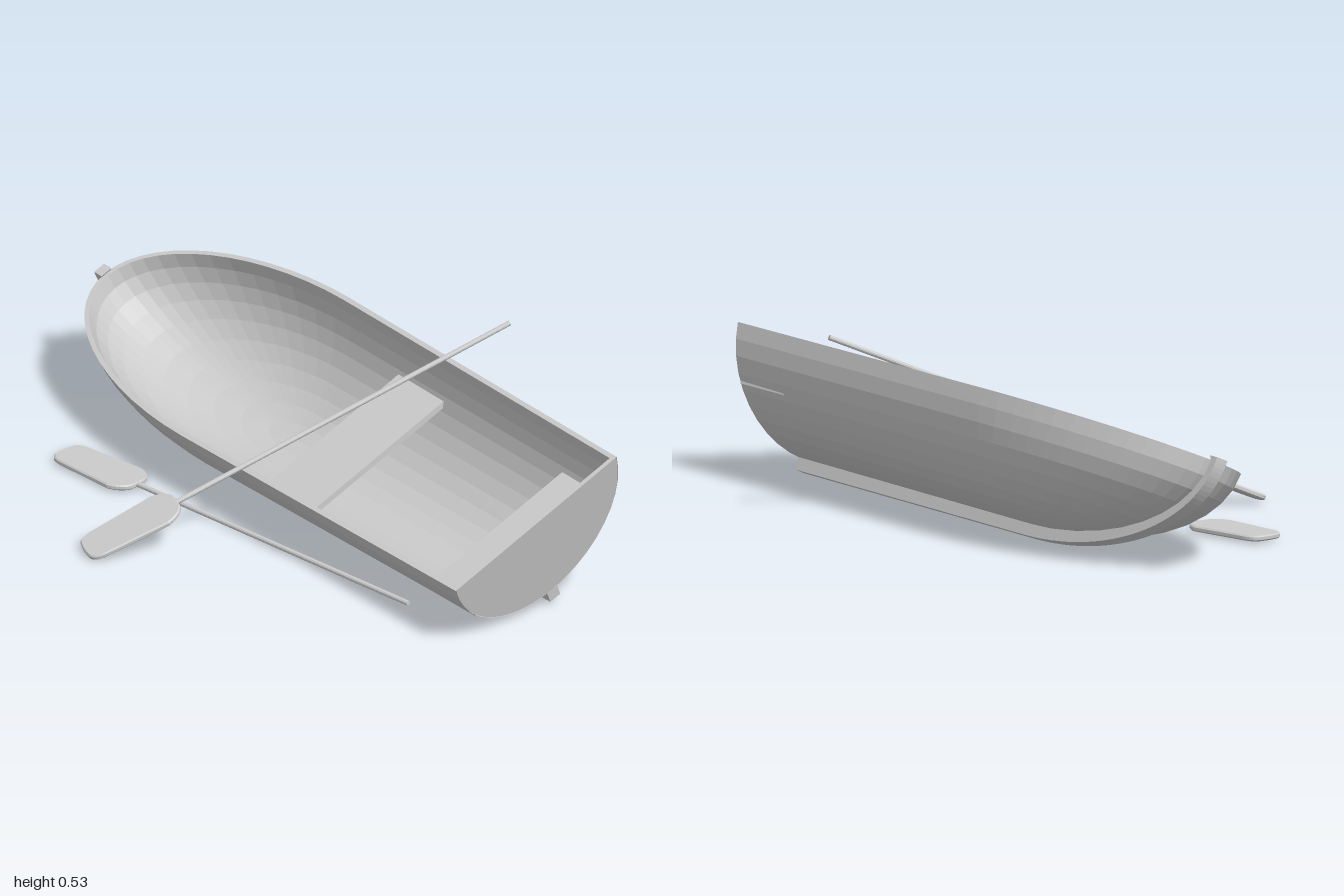
import * as THREE from 'three';

const BEAM = 0.32, DEPTH = 0.307, BOW = 0.73, Z0 = -0.25; // half width, depth, bow length, bow start
const WALL = 0.015, RAKE = 0.27, TAPER = 0.033;

const flat = new THREE.MeshStandardMaterial({ color: 0xcccccc, flatShading: true, side: THREE.DoubleSide });

function addMesh(parent, name, geometry) {
  const mesh = new THREE.Mesh(geometry, flat);
  mesh.name = name;
  parent.add(mesh);
  return mesh;
}

// Stations run from one stern corner, round the bow, to the other stern corner.
function hullStations(straight, curved) {
  const list = [];
  for (let i = 0; i < straight; i++) list.push({ side: 1, f: 1 - i / straight });
  for (let i = 0; i <= curved; i++) list.push({ angle: (Math.PI * i) / curved });
  for (let i = 1; i <= straight; i++) list.push({ side: -1, f: i / straight });
  return list;
}

// Half elliptic trough that ends in a quarter ellipsoid; phi goes from rim to bottom.
function hullPoint(station, phi, inset) {
  const c = Math.cos(phi), s = Math.sin(phi);
  const w = BEAM - inset, d = DEPTH - inset, l = BOW - inset;
  if (station.side) {
    const k = 1 - TAPER * station.f;
    const y = -d * k * s;
    return [station.side * w * k * c, y, THREE.MathUtils.lerp(Z0, 1 + RAKE * y, station.f)];
  }
  return [w * Math.cos(station.angle) * c, -d * s, Z0 - l * Math.sin(station.angle) * c];
}

// Outer skin, rim and inner skin in one grid.
function hullGeometry() {
  const rows = 10, stations = hullStations(4, 28);
  const profile = [];
  for (let i = rows; i >= 0; i--) profile.push([(Math.PI / 2) * (i / rows), 0]);
  for (let i = 0; i <= rows; i++) profile.push([(Math.PI / 2) * (i / rows), WALL]);
  const positions = [], indices = [], n = profile.length;
  for (const station of stations)
    for (const [phi, inset] of profile) positions.push(...hullPoint(station, phi, inset));
  for (let j = 0; j < stations.length - 1; j++)
    for (let i = 0; i < n - 1; i++) {
      const a = j * n + i, b = a + n;
      indices.push(a, b, a + 1, b, b + 1, a + 1);
    }
  const geometry = new THREE.BufferGeometry();
  geometry.setAttribute('position', new THREE.Float32BufferAttribute(positions, 3));
  geometry.setIndex(indices);
  geometry.computeVertexNormals();
  return geometry;
}

// Half ellipse board, sheared so its foot sits further forward.
function transomGeometry() {
  const shape = new THREE.Shape();
  const k = 1 - TAPER;
  shape.absellipse(0, 0, BEAM * k - 0.002, DEPTH * k - 0.002, Math.PI, Math.PI * 2, false);
  shape.closePath();
  const geometry = new THREE.ExtrudeGeometry(shape, { depth: WALL, bevelEnabled: false, curveSegments: 20 });
  const p = geometry.attributes.position;
  for (let i = 0; i < p.count; i++) p.setZ(i, p.getZ(i) + 1 - WALL + RAKE * p.getY(i));
  geometry.computeVertexNormals();
  return geometry;
}

// Side outline of the keel and stem, given the strip's width.
function keelGeometry(width) {
  const inner = 0.004, outD = DEPTH + 0.033, outL = BOW + 0.02;
  const shape = new THREE.Shape();
  shape.moveTo(0.92, -0.292);
  shape.lineTo(0.915, -0.332);
  shape.lineTo(Z0, -outD);
  shape.absellipse(Z0, 0, outL, outD, Math.PI * 1.5, Math.PI, true);
  shape.lineTo(Z0 - outL, 0.012);
  shape.lineTo(Z0 - BOW + WALL, 0.012);
  shape.lineTo(Z0 - BOW + inner, 0);
  shape.absellipse(Z0, 0, BOW - inner, DEPTH - inner, Math.PI, Math.PI * 1.5, false);
  shape.closePath();
  const geometry = new THREE.ExtrudeGeometry(shape, { depth: width, bevelEnabled: false, curveSegments: 18 });
  return geometry.translate(0, 0, -width / 2).rotateY(-Math.PI / 2);
}

// Oar with its grip end at the origin, pointing along -z and lying flat.
function createOar(name) {
  const oar = new THREE.Group();
  oar.name = name;
  const length = 1.075;
  const shaft = addMesh(oar, 'oarShaft', new THREE.CylinderGeometry(0.0075, 0.0075, length, 10));
  shaft.rotation.x = Math.PI / 2;
  shaft.position.z = -length / 2;

  const blade = new THREE.Shape();
  blade.moveTo(-0.025, 0);
  blade.lineTo(0.025, 0);
  blade.quadraticCurveTo(0.06, 0.01, 0.071, 0.055);
  blade.lineTo(0.06, 0.25);
  blade.quadraticCurveTo(0.057, 0.287, 0.035, 0.293);
  blade.quadraticCurveTo(0, 0.3, -0.035, 0.293);
  blade.quadraticCurveTo(-0.057, 0.287, -0.06, 0.25);
  blade.lineTo(-0.071, 0.055);
  blade.quadraticCurveTo(-0.06, 0.01, -0.025, 0);
  const bladeGeometry = new THREE.ExtrudeGeometry(blade, {
    depth: 0.008, bevelThickness: 0.004, bevelSize: 0.004, bevelOffset: -0.004, bevelSegments: 1, curveSegments: 6,
  });
  bladeGeometry.translate(0, 0, -0.004).rotateX(-Math.PI / 2);
  addMesh(oar, 'oarBlade', bladeGeometry).position.z = -1.06;
  return oar;
}

export function createModel() {
  const model = new THREE.Group();
  model.name = 'rowingBoat';

  // Boat lying over on its bilge
  const boat = new THREE.Group();
  boat.name = 'boat';
  boat.position.set(0.143, 0.3225, 0);
  boat.rotation.z = THREE.MathUtils.degToRad(23.5);
  model.add(boat);

  addMesh(boat, 'hull', hullGeometry());
  addMesh(boat, 'transom', transomGeometry());
  addMesh(boat, 'keel', keelGeometry(0.038));

  // Seats
  for (const [name, back, front] of [['middleSeat', -0.02, 0.19], ['sternSeat', 0.74, 0.955]]) {
    const seat = addMesh(boat, name, new THREE.BoxGeometry(0.528, 0.018, front - back));
    seat.position.set(0, -0.152, (back + front) / 2);
  }

  // One oar across the gunwales, one on the ground
  const restingOar = createOar('restingOar');
  restingOar.position.set(0.501, 0.008, 0.285);
  restingOar.rotation.y = 1.265;
  boat.add(restingOar);

  const groundOar = createOar('groundOar');
  groundOar.position.set(-0.07, 0.017, 0.69);
  groundOar.rotation.y = 0.137;
  model.add(groundOar);

  return model;
}
